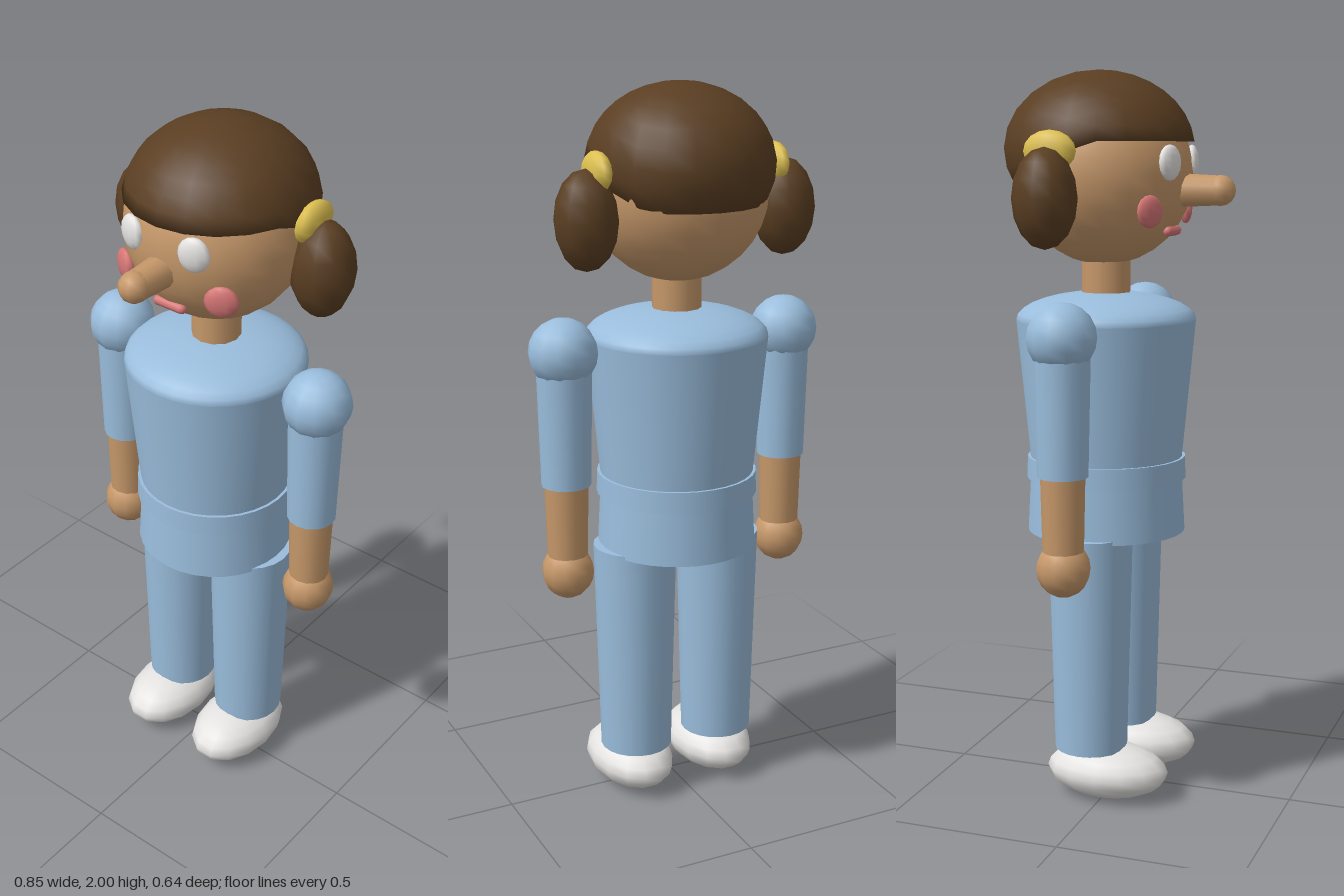
import * as THREE from 'three';

const mat = (name, color) => {
  const m = new THREE.MeshStandardMaterial({ color });
  m.name = name;
  return m;
};

export function createModel() {
  const model = new THREE.Group();
  model.name = 'figure';
  const blue = mat('blue cloth', 0x9abddc);
  const skin = mat('skin', 0xc6986a);
  const brown = mat('brown hair', 0x5a3e22);
  const white = mat('white', 0xe4e3e1);
  const yellow = mat('yellow', 0xdcbf50);
  const pink = mat('pink', 0xd67676);
  brown.side = THREE.DoubleSide;

  const bodyZ = -0.043; // shared axis of torso, neck, arms and legs

  const add = (name, geometry, material, x, y, z) => {
    const mesh = new THREE.Mesh(geometry, material);
    mesh.name = name;
    mesh.position.set(x, y, z);
    model.add(mesh);
    return mesh;
  };
  const ball = (name, material, x, y, z, rx, ry, rz, w = 12, h = 8) =>
    add(name, new THREE.SphereGeometry(1, w, h).scale(rx, ry, rz), material, x, y, z);
  const tube = (name, material, x, y0, y1, r0, r1, n = 16) =>
    add(name, new THREE.CylinderGeometry(r1, r0, y1 - y0, n), material, x, (y0 + y1) / 2, bodyZ);

  // Torso, belt and tunic hem
  tube('torso', blue, 0, 0.92, 1.33, 0.209, 0.248, 32);
  add('shoulderDome', new THREE.SphereGeometry(1, 32, 8, 0, Math.PI * 2, 0, Math.PI / 2)
    .scale(0.248, 0.078, 0.248), blue, 0, 1.33, bodyZ);
  tube('belt', blue, 0, 0.89, 0.95, 0.222, 0.22, 32);
  tube('tunicHem', blue, 0, 0.74, 0.892, 0.22, 0.212, 32);

  // Neck and head
  tube('neck', skin, 0, 1.38, 1.53, 0.067, 0.067, 12);
  ball('head', skin, 0, 1.722, -0.047, 0.243, 0.243, 0.241, 20, 16);

  // Hair cap: a dome whose lower edge drops from forehead to nape, then tucks in
  const cols = 20, rows = 8, pos = [], idx = [];
  for (let j = 0; j <= rows + 1; j++) {
    for (let i = 0; i <= cols; i++) {
      const a = (i / cols) * Math.PI * 2;
      const drop = THREE.MathUtils.smoothstep(-Math.cos(a), -0.35, 0.8);
      const end = Math.acos((0.02 - 0.12 * drop) / 0.21);
      const t = end * Math.min(j, rows) / rows;
      const r = Math.sin(t) * (j > rows ? 0.84 : 1);
      pos.push(Math.sin(a) * r * 0.25, Math.cos(t) * 0.21, Math.cos(a) * r * 0.26);
      if (i < cols && j <= rows) {
        const p = j * (cols + 1) + i, q = p + cols + 1;
        idx.push(p, q, q + 1);
        if (j > 0) idx.push(p, q + 1, p + 1);
      }
    }
  }
  const cap = new THREE.BufferGeometry();
  cap.setAttribute('position', new THREE.Float32BufferAttribute(pos, 3));
  cap.setIndex(idx);
  cap.computeVertexNormals();
  // Matching normals at the pole and along the closing seam
  const nor = cap.attributes.normal;
  for (let i = 0; i <= cols; i++) nor.setXYZ(i, 0, 1, 0);
  for (let j = 1; j <= rows + 1; j++) {
    const p = j * (cols + 1), q = p + cols;
    const n = new THREE.Vector3(0, nor.getY(p) + nor.getY(q), nor.getZ(p) + nor.getZ(q)).normalize();
    nor.setXYZ(p, n.x, n.y, n.z);
    nor.setXYZ(q, n.x, n.y, n.z);
  }
  add('hairCap', cap, brown, 0, 1.79, -0.063);

  // Nose and mouth
  add('nose', new THREE.CylinderGeometry(0.039, 0.047, 0.16, 10).rotateX(Math.PI / 2), skin, 0, 1.682, 0.2);
  ball('noseTip', skin, 0, 1.682, 0.28, 0.041, 0.041, 0.041, 10, 8);
  add('mouth', new THREE.CapsuleGeometry(0.014, 0.074, 3, 8).rotateZ(Math.PI / 2),
    pink, 0, 1.574, 0.146);

  for (const [side, s] of [['left', 1], ['right', -1]]) {
    // Face details
    ball(side + 'Eye', white, s * 0.097, 1.755, 0.17, 0.043, 0.047, 0.02, 10, 8).rotation.y = s * 0.3;
    ball(side + 'Cheek', pink, s * 0.155, 1.63, 0.135, 0.045, 0.043, 0.017, 10, 8).rotation.y = s * 0.5;

    // Pigtail and its tie
    ball(side + 'Pigtail', brown, s * 0.287, 1.665, -0.106, 0.085, 0.131, 0.086, 10, 8);
    ball(side + 'HairTie', yellow, s * 0.255, 1.785, -0.104, 0.031, 0.054, 0.073, 10, 8);

    // Arm
    ball(side + 'Shoulder', blue, s * 0.332, 1.313, bodyZ, 0.093, 0.093, 0.093, 12, 10);
    tube(side + 'Sleeve', blue, s * 0.33, 0.95, 1.31, 0.067, 0.075);
    tube(side + 'Forearm', skin, s * 0.33, 0.74, 0.96, 0.055, 0.06, 12);
    ball(side + 'Hand', skin, s * 0.33, 0.702, bodyZ, 0.071, 0.076, 0.073, 12, 10);

    // Leg and shoe
    tube(side + 'Leg', blue, s * 0.128, 0.14, 0.75, 0.101, 0.116, 20);
    ball(side + 'Shoe', white, s * 0.128, 0.076, 0.006, 0.114, 0.075, 0.174, 14, 10);
  }
  return model;
}
